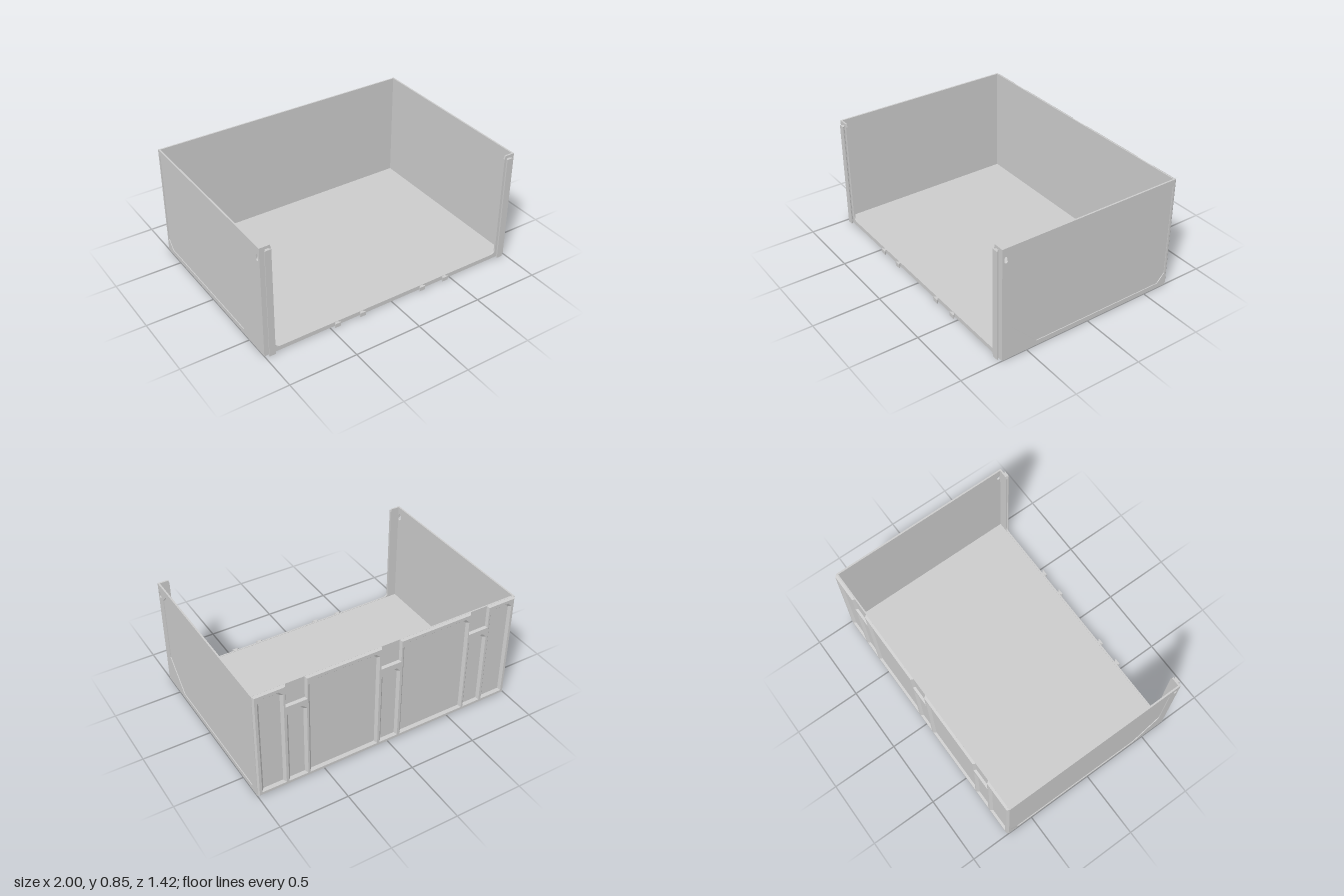
import * as THREE from 'three';

const material = new THREE.MeshStandardMaterial({ color: 0xcccccc, flatShading: true });
const W = 1, H = 0.845, FRONT = 0.69;
const vec = (points) => points.map(([x, y]) => new THREE.Vector2(x, y));

export function createModel() {
  const group = new THREE.Group();

  const add = (name, geometry, x = 0, y = 0, z = 0) => {
    const mesh = new THREE.Mesh(geometry, material);
    mesh.name = name;
    mesh.position.set(x, y, z);
    group.add(mesh);
    return mesh;
  };
  const extrude = (shape, depth) =>
    new THREE.ExtrudeGeometry(shape, { depth, bevelEnabled: false, curveSegments: 6 });

  // Floor
  add('floor', new THREE.BoxGeometry(1.98, 0.03, 1.37), 0, 0.015, 0);

  // Side walls: frame with a shallow recessed panel and a small slot near the front
  const panel = vec([[0.56, 0.8], [-0.68, 0.8], [-0.68, 0.1], [-0.62, 0.035],
    [0.42, 0.035], [0.62, 0.24], [0.62, 0.735]]);
  const frame = new THREE.Shape(vec([[-0.695, 0], [FRONT, 0], [FRONT, H], [-0.695, H]]));
  const slot = new THREE.Path().absellipse(0.6615, 0.772, 0.0135, 0.013, 0, Math.PI);
  slot.absellipse(0.6615, 0.751, 0.0135, 0.013, Math.PI, Math.PI * 2);
  slot.closePath();
  frame.holes.push(new THREE.Path(panel), slot);
  const frameGeometry = extrude(frame, 0.012).rotateY(-Math.PI / 2);
  const panelGeometry = extrude(new THREE.Shape(panel), 0.006).rotateY(-Math.PI / 2);
  for (const side of [1, -1]) {
    const label = side > 0 ? 'left' : 'right';
    add(label + 'WallFrame', frameGeometry, side > 0 ? W : -0.988);
    add(label + 'WallPanel', panelGeometry, side > 0 ? 0.994 : -0.988);
  }

  // Front flange: a U with rounded inner corners
  const flange = new THREE.Shape();
  flange.moveTo(-W, 0).lineTo(W, 0).lineTo(W, H).lineTo(0.925, H).lineTo(0.918, 0.82);
  flange.lineTo(0.918, 0.07).quadraticCurveTo(0.918, 0.032, 0.88, 0.032);
  flange.lineTo(-0.88, 0.032).quadraticCurveTo(-0.918, 0.032, -0.918, 0.07);
  flange.lineTo(-0.918, 0.82).lineTo(-0.925, H).lineTo(-W, H);
  add('frontFlange', extrude(flange, 0.012), 0, 0, FRONT - 0.012);

  // Dovetail rails on the front, flaring outward: tall at the corners, short on the floor edge
  const dovetail = (width, neck, height) => extrude(new THREE.Shape(vec([
    [-neck / 2, 0.002], [neck / 2, 0.002], [neck / 2, -0.007], [width / 2, -0.014],
    [width / 2, -0.02], [-width / 2, -0.02], [-width / 2, -0.014], [-neck / 2, -0.007],
  ])), height).rotateX(-Math.PI / 2);
  for (const side of [1, -1]) {
    add('cornerRail', dovetail(0.046, 0.026, 0.825), side * 0.95, 0, FRONT);
    for (const x of [0.25, 0.45]) add('floorTab', dovetail(0.046, 0.026, 0.03), side * x, 0, FRONT);
  }

  // Back wall: thin sheet behind a ribbed face
  add('backSheet', new THREE.BoxGeometry(2, H, 0.01), 0, H / 2, -0.688);

  // Rib layout: outline notched along the top, and bevelled recesses (clockwise)
  const outline = [[-0.988, 0.01], [0.988, 0.01], [0.988, 0.834]];
  for (const c of [0.7, 0, -0.7]) {
    outline.push([c + 0.078, 0.834], [c + 0.078, 0.67], [c - 0.078, 0.67], [c - 0.078, 0.834]);
  }
  outline.push([-0.988, 0.834]);
  const recess = (x0, x1, top, cut = 0.03) => [[x0, 0.03], [x0, top - cut], [x0 + cut, top],
    [x1 - cut, top], [x1, top - cut], [x1, 0.03]];
  const recesses = [recess(-0.97, -0.79, 0.81), recess(0.79, 0.97, 0.81),
    recess(-0.615, -0.09, 0.81), recess(0.09, 0.615, 0.81)];
  for (const c of [-0.7, 0, 0.7]) recesses.push(recess(c - 0.072, c + 0.072, 0.63));

  const face = new THREE.Shape(vec(outline));
  recesses.forEach((r) => face.holes.push(new THREE.Path(vec(r))));
  add('backRibFace', new THREE.ShapeGeometry(face), 0, 0, -0.71).rotation.y = Math.PI;

  // Sloping strip along a closed loop, spreading to its right as it goes deeper
  const bevel = (points, spread, depth) => {
    const loop = vec(points), n = loop.length;
    const normal = (i) => {
      const d = loop[(i + 1) % n].clone().sub(loop[i]).normalize();
      return new THREE.Vector2(d.y, -d.x);
    };
    const position = [], index = [];
    loop.forEach((p, i) => {
      const a = normal((i + n - 1) % n), b = normal(i);
      const q = a.clone().add(b).multiplyScalar(spread / (1 + a.dot(b))).add(p);
      position.push(p.x, p.y, 0, q.x, q.y, -depth);
      const j = (i + 1) % n;
      index.push(2 * i, 2 * i + 1, 2 * j + 1, 2 * i, 2 * j + 1, 2 * j);
    });
    const geometry = new THREE.BufferGeometry();
    geometry.setAttribute('position', new THREE.Float32BufferAttribute(position, 3));
    geometry.setIndex(index);
    geometry.computeVertexNormals();
    return geometry;
  };
  add('backRibEdge', bevel(outline, 0.011, 0.018), 0, 0, -0.71).rotation.y = Math.PI;
  for (const r of recesses) {
    add('backRecessBevel', bevel(r, 0.018, 0.018), 0, 0, -0.71).rotation.y = Math.PI;
  }

  return group;
}
